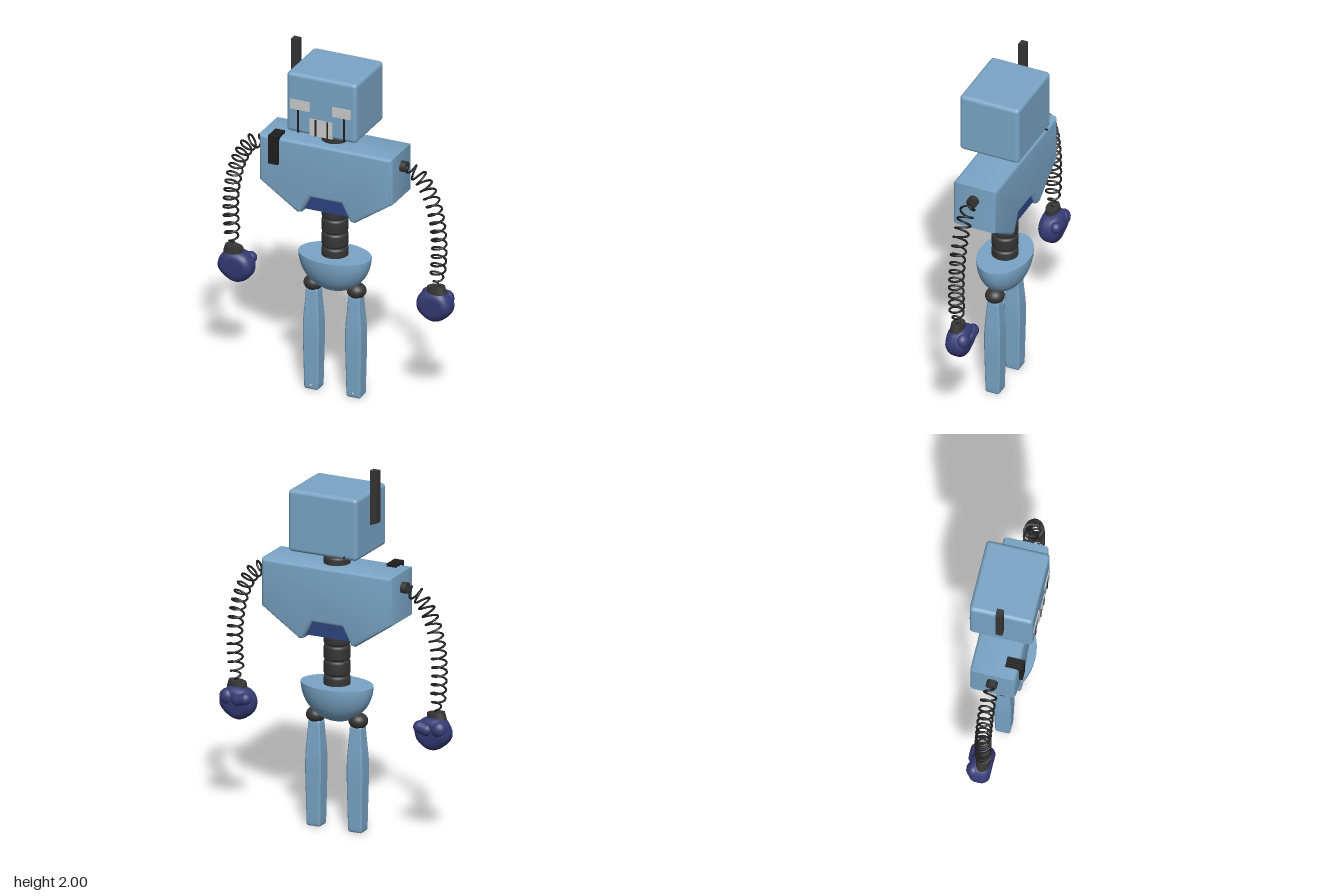
import * as THREE from 'three';
import { mergeVertices, toCreasedNormals } from 'three/addons/utils/BufferGeometryUtils.js';
import { RoundedBoxGeometry } from 'three/addons/geometries/RoundedBoxGeometry.js';

const Z = 0.008; // common centre plane
const mat = (color) => new THREE.MeshStandardMaterial({ color });
const V = (x, y, z = Z) => new THREE.Vector3(x, y, z);

// Spring: a helix wound round a centre path lying in the xy plane
class CoilCurve extends THREE.Curve {
  constructor(path, turns, radius) {
    super();
    Object.assign(this, { path, turns, radius });
  }
  getPoint(t, target = new THREE.Vector3()) {
    const c = this.path.getPointAt(t), d = this.path.getTangentAt(t);
    const a = t * this.turns * Math.PI * 2;
    const r = this.radius * Math.min(1, t * 12 + 0.2, (1 - t) * 8 + 0.2);
    return target.set(
      c.x - d.y * r * Math.cos(a),
      c.y + d.x * r * Math.cos(a),
      c.z + r * Math.sin(a));
  }
}

export function createModel() {
  const root = new THREE.Group();
  root.name = 'robot';
  const blue = mat(0x7aa5c6), dark = mat(0x353535), black = mat(0x202020);
  const navy = mat(0x353b75), inset = mat(0x2c4480), grey = mat(0xcccccc);

  const add = (name, geo, material, x = 0, y = 0, z = 0, parent = root) => {
    const m = new THREE.Mesh(geo, material);
    m.name = name;
    m.position.set(x, y, z);
    parent.add(m);
    return m;
  };
  const box = (name, w, h, d, material, x, y, z, parent) =>
    add(name, new THREE.BoxGeometry(w, h, d), material, x, y, z, parent);
  const polygon = (pts) => new THREE.Shape(pts.map(([x, y]) => new THREE.Vector2(x, y)));
  // Symmetric outline from its +x half
  const mirrored = (half) => polygon([...half, ...half.map(([x, y]) => [-x, y]).reverse()]);

  // Head
  const head = new THREE.Group();
  head.name = 'head';
  root.add(head);
  add('skull', new RoundedBoxGeometry(0.405, 0.342, 0.342, 4, 0.022), blue, 0, 1.71, Z, head);
  const face = 0.179;
  box('rightEye', 0.115, 0.056, 0.008, grey, -0.122, 1.703, face, head);
  box('leftEye', 0.107, 0.056, 0.008, grey, 0.118, 1.703, face, head);
  for (const s of [-1, 1]) box('cheekLine', 0.012, 0.13, 0.006, black, s * 0.133, 1.609, face, head);
  box('mouth', 0.132, 0.095, 0.008, grey, 0, 1.59, face, head);
  for (const x of [-0.03, 0.038]) box('toothGap', 0.01, 0.095, 0.004, black, x, 1.59, face + 0.004, head);
  box('rearPin', 0.006, 0.008, 0.02, black, -0.132, 1.556, -0.167, head);

  // Antenna, with a slanted lower end
  const antenna = new THREE.ExtrudeGeometry(
    polygon([[-0.245, 1.715], [-0.203, 1.7], [-0.203, 2], [-0.245, 2]]),
    { depth: 0.038, bevelEnabled: false });
  add('antenna', antenna, dark, 0, 0, -0.011, head);

  // Torso with sloped sides and a notch at the waist
  const torsoShape = mirrored([[0.385, 1.462], [0.385, 1.2], [0.165, 1.05], [0.14, 1.055], [0.09, 1.15]].reverse());
  const torso = new THREE.ExtrudeGeometry(torsoShape, {
    depth: 0.206, bevelThickness: 0.02, bevelSize: 0.018, bevelOffset: -0.018, bevelSegments: 4 });
  add('torso', toCreasedNormals(torso, 0.6), blue, 0, 0, -0.096);
  const waist = new THREE.ExtrudeGeometry(
    mirrored([[0.13, 1.073], [0.09, 1.165]]), { depth: 0.2, bevelEnabled: false });
  add('waistInset', waist, inset, 0, 0, -0.094);

  // Spine and neck: stacked rings with rounded rims
  const ring = new THREE.LatheGeometry(
    [[0, -0.041], [0.058, -0.041], [0.068, -0.036], [0.071, -0.026], [0.071, 0.026],
      [0.068, 0.036], [0.058, 0.041], [0, 0.041]].map(([x, y]) => new THREE.Vector2(x, y)), 32);
  for (let i = 0; i < 5; i++) add('spineRing', ring, dark, 0, 0.805 + i * 0.083, Z);
  for (const y of [1.462, 1.545]) add('neckRing', ring, dark, 0, y, Z);

  // Vent: four bars bent over the top edge of the chest
  const barShape = polygon([[0.06, 1.45], [0.135, 1.45], [0.135, 1.315], [0.154, 1.315], [0.154, 1.478], [0.06, 1.478]]);
  const bar = new THREE.ExtrudeGeometry(barShape, { depth: 0.011, bevelEnabled: false });
  bar.rotateY(-Math.PI / 2);
  for (let i = 0; i < 4; i++) add('ventBar', bar, black, -0.308 + i * 0.0145, 0, 0);

  // Pelvis: half an ellipsoid with a flat lid
  const bowl = add('pelvis', new THREE.SphereGeometry(1, 40, 16, 0, Math.PI * 2, Math.PI / 2, Math.PI / 2), blue, 0, 0.796, Z);
  bowl.scale.set(0.203, 0.206, 0.138);
  const lid = add('pelvisLid', new THREE.CircleGeometry(1, 40), blue, 0, 0.796, Z);
  lid.rotation.x = -Math.PI / 2;
  lid.scale.set(0.203, 0.138, 1);

  // Leg: square bar with bevelled ends, swelling below the hip
  const w = 0.046;
  const leg = new THREE.ExtrudeGeometry(
    polygon([[-w, -w + 0.008], [-w + 0.008, -w], [w - 0.008, -w], [w, -w + 0.008],
      [w, w - 0.008], [w - 0.008, w], [-w + 0.008, w], [-w, w - 0.008]]),
    { depth: 0.556, steps: 16, bevelThickness: 0.012, bevelSize: 0.01, bevelOffset: -0.01, bevelSegments: 3 });
  leg.rotateX(-Math.PI / 2).translate(0, 0.012, 0);
  const lp = leg.attributes.position;
  for (let i = 0; i < lp.count; i++) {
    const y = lp.getY(i);
    const k = Math.min(1, 0.87 + y * 0.45) - 0.28 * THREE.MathUtils.smoothstep(y, 0.36, 0.6);
    lp.setX(i, lp.getX(i) * k);
    lp.setZ(i, lp.getZ(i) * k);
  }
  const legGeo = toCreasedNormals(leg, 0.5);

  // Glove outline, seen from the front
  const gloveOutline = [[0.51, 0.685], [0.475, 0.645], [0.478, 0.575], [0.555, 0.518],
    [0.61, 0.53], [0.678, 0.6], [0.66, 0.665], [0.625, 0.7]];

  for (const s of [-1, 1]) {
    const side = s > 0 ? 'left' : 'right';

    // Legs
    const hip = add(side + 'HipBall', new THREE.SphereGeometry(0.052, 24, 16), dark, s * 0.125, 0.607, Z);
    hip.scale.y = 0.82;
    add(side + 'Leg', legGeo, blue, s * 0.122, 0, Z);
    add(side + 'ToeStud', new THREE.SphereGeometry(0.007, 10, 8), grey, s * 0.122, 0.025, Z + 0.038);

    // Arms
    const arm = new THREE.Group();
    arm.name = side + 'Arm';
    root.add(arm);
    const socket = add('shoulderSocket', new THREE.CylinderGeometry(0.03, 0.03, 0.05, 20), dark, s * 0.392, 1.38, Z, arm);
    socket.rotation.z = Math.PI / 2;
    const path = new THREE.CatmullRomCurve3([[0.41, 1.38], [0.49, 1.34], [0.555, 1.23], [0.59, 1.1],
      [0.603, 0.95], [0.597, 0.83], [0.588, 0.725]].map(([x, y]) => V(s * x, y)));
    add('spring', new THREE.TubeGeometry(new CoilCurve(path, 15, 0.039), 420, 0.0058, 6), black, 0, 0, 0, arm);

    const cuff = add('cuff', new THREE.CylinderGeometry(0.05, 0.057, 0.042, 24), dark, s * 0.586, 0.703, 0.006, arm);
    cuff.scale.z = 0.68;
    cuff.rotation.z = s * 0.12;

    // Padded glove: rounded fist plus thumb on the rear inner side
    const outline = new THREE.CatmullRomCurve3(
      gloveOutline.map(([x, y]) => V(s * (0.575 + (x - 0.575) * 0.56), 0.61 + (y - 0.61) * 0.54, 0)), true);
    const fistShape = new THREE.Shape(outline.getPoints(40).slice(0, 40).map((p) => new THREE.Vector2(p.x, p.y)));
    let fist = new THREE.ExtrudeGeometry(fistShape, { depth: 0.025, bevelThickness: 0.046, bevelSize: 0.041, bevelSegments: 7 });
    fist.deleteAttribute('uv');
    fist.deleteAttribute('normal');
    fist = mergeVertices(fist, 1e-5);
    const fp = fist.attributes.position;
    for (let i = 0; i < fp.count; i++) { // thinner towards the fingertips
      const k = 0.78 + 0.22 * THREE.MathUtils.smoothstep(fp.getY(i), 0.52, 0.63);
      fp.setZ(i, (fp.getZ(i) - 0.0125) * k);
    }
    fist.computeVertexNormals();
    add('fist', fist, navy, 0, 0, -0.004, arm);
    const thumb = add('thumb', new THREE.CapsuleGeometry(0.034, 0.045, 8, 20), navy, s * 0.535, 0.642, -0.045, arm);
    thumb.rotation.z = s * 1.35;
    const heel = add('gloveHeel', new THREE.SphereGeometry(0.04, 20, 14), navy, s * 0.622, 0.645, -0.038, arm);
    heel.scale.set(1.1, 1.1, 0.95);
  }
  return root;
}
